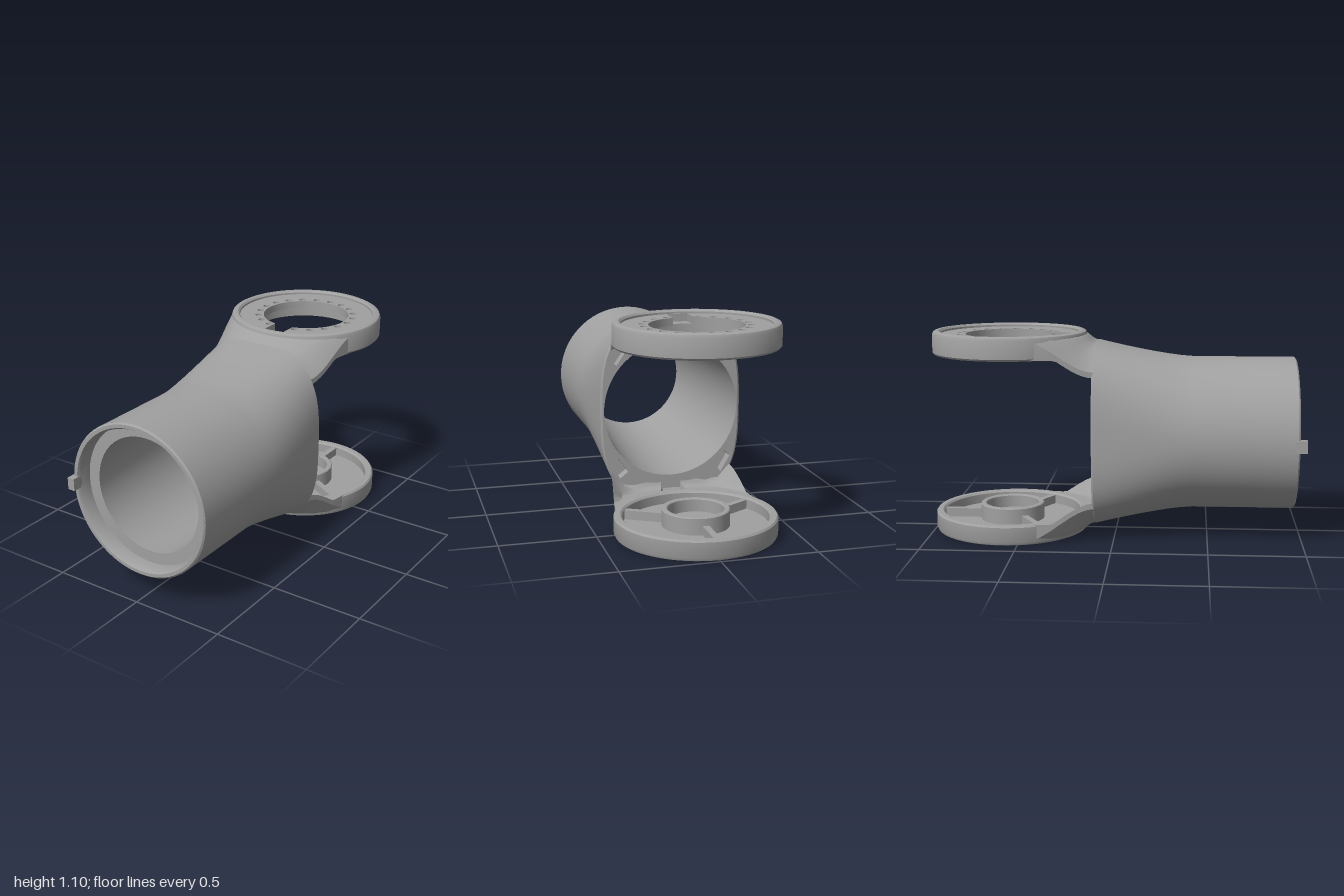
import * as THREE from 'three';
import { toCreasedNormals } from 'three/addons/utils/BufferGeometryUtils.js';

const CY = 0.55;          // height of the tube axis
const HUB_Z = -0.58;      // centre of both hub discs
const BACK = -0.11;       // rear face of the tube body
const V3 = (x, y, z) => new THREE.Vector3(x, y, z);
const V2 = (x, y) => new THREE.Vector2(x, y);

// Skin a list of closed rings with equal point counts.
function loft(rings, crease = 0.6) {
  const n = rings[0].length, pos = [], idx = [];
  rings.forEach(r => r.forEach(p => pos.push(p.x, p.y, p.z)));
  for (let i = 0; i < rings.length - 1; i++) {
    for (let j = 0; j < n; j++) {
      const a = i * n + j, b = i * n + (j + 1) % n;
      idx.push(a, b, a + n, b, b + n, a + n);
    }
  }
  const g = new THREE.BufferGeometry();
  g.setAttribute('position', new THREE.Float32BufferAttribute(pos, 3));
  g.setIndex(idx);
  return toCreasedNormals(g, crease);
}

const lathe = pts =>
  toCreasedNormals(new THREE.LatheGeometry(pts.map(p => V2(p[0], p[1])), 64), 0.6);

// Body section: a circle in front, swelling to a squarish oval at the rear.
function section(z, inset = 0) {
  const t = Math.max(0, (0.42 - z) / 0.53), s = Math.pow(t, 1.4);
  const a = 0.41 - 0.022 * s - inset, b = 0.41 + 0.085 * s - inset, e = 2 / (2 + 1.1 * s);
  const ring = [];
  for (let i = 0; i < 72; i++) {
    const c = Math.cos(i / 72 * Math.PI * 2), d = Math.sin(i / 72 * Math.PI * 2);
    ring.push(V3(a * Math.sign(c) * Math.abs(c) ** e, b * Math.sign(d) * Math.abs(d) ** e, z));
  }
  return ring;
}

// Arm between body and hub: straight lines from the body to an arc of the disc.
// Heights are for the upper arm; the lower one is flipped.
function neckGeometry(innerY, rootDrop, run) {
  const us = [-1, -0.8, -0.6, -0.4, -0.25, -0.15, -0.14, 0, 0.14, 0.15, 0.25, 0.4, 0.6, 0.8, 1];
  const rings = [];
  for (let k = 0; k <= 14; k++) {
    const t = k / 14, top = [], under = [];
    us.forEach(u => {
      const th = u * 1.3;
      const x = THREE.MathUtils.lerp(0.33 * u, 0.405 * Math.sin(th), t);
      const z = THREE.MathUtils.lerp(-0.1, HUB_Z + 0.405 * Math.cos(th), t);
      const bodyY = CY + 0.49 * Math.pow(1 - Math.abs(0.33 * u / 0.388) ** 3.1, 1 / 3.1);
      const y = THREE.MathUtils.lerp(bodyY, 1.085, THREE.MathUtils.smoothstep(t, 0, 1));
      const f = THREE.MathUtils.clamp((z - BACK + run) / run, 0, 1);
      let low = innerY - rootDrop * (1 - Math.sqrt(1 - f * f));
      if (Math.abs(u) < 0.145) low += 0.035;   // cable groove
      top.push(V3(x, y, z));
      under.unshift(V3(x, Math.min(low, y - 0.03), z));
    });
    rings.push([...top, ...under]);
  }
  return loft(rings);
}

export function createModel() {
  const model = new THREE.Group();
  model.name = 'forkJoint';
  const grey = new THREE.MeshStandardMaterial({ color: 0xa0a0a0, side: THREE.DoubleSide });
  grey.name = 'grey';
  const add = (name, geometry, parent = model) => {
    const m = new THREE.Mesh(geometry, grey);
    m.name = name;
    parent.add(m);
    return m;
  };

  // Tube body
  const body = new THREE.Group();
  body.name = 'tubeBody';
  body.position.y = CY;
  model.add(body);
  const zs = [0.957, 0.7, 0.42, 0.35, 0.28, 0.2, 0.12, 0.04, -0.03, -0.1];
  add('outerShell', loft([...zs.map(z => section(z)), section(BACK, 0.01)]), body);

  // Front lip, counterbore and bore
  const bore = lathe([[0.41, 0.957], [0.402, 0.965], [0.384, 0.965], [0.375, 0.95],
    [0.375, 0.88], [0.31, 0.88], [0.312, 0.84], [0.37, BACK]]);
  bore.rotateX(Math.PI / 2);
  add('bore', bore, body);

  // Rear face with four corner pockets
  const face = new THREE.Shape(section(BACK, 0.01).map(p => V2(p.x, p.y)));
  face.holes.push(new THREE.Path().absarc(0, 0, 0.37, 0, Math.PI * 2, true));
  for (const sx of [-1, 1]) {
    for (const sy of [-1, 1]) {
      const pts = [[0.30, 0.25], [0.335, 0.285], [0.285, 0.37], [0.24, 0.335]]
        .map(([x, y]) => V2(sx * x, sy * y));
      face.holes.push(new THREE.Path(pts));
      add('pocketWall', loft([BACK, -0.05].map(z => pts.map(p => V3(p.x, p.y, z)))), body);
      const floor = new THREE.ShapeGeometry(new THREE.Shape(pts));
      floor.rotateY(Math.PI);
      floor.scale(-1, 1, 1);
      add('pocketFloor', floor, body).position.z = -0.05;
    }
  }
  add('rearFace', new THREE.ShapeGeometry(face, 36), body).position.z = BACK;

  // Locating key on the front lip
  add('locatingKey', new THREE.BoxGeometry(0.04, 0.065, 0.06)).position.set(-0.394, CY, 0.97);

  // Arms
  add('upperArm', neckGeometry(0.976, 0.05, 0.09));
  const lower = neckGeometry(0.992, 0.04, 0.05);
  lower.rotateZ(Math.PI);
  add('lowerArm', lower).position.y = 2 * CY;

  // Upper hub: rim plus flange with a ring of bolt holes and a cable slot
  const upperHub = new THREE.Group();
  upperHub.name = 'upperHub';
  upperHub.position.z = HUB_Z;
  model.add(upperHub);
  add('upperRim', lathe([[0.29, 0.975], [0.412, 0.975], [0.42, 0.985], [0.42, 1.08],
    [0.414, 1.094], [0.402, 1.1], [0.385, 1.1], [0.375, 1.09], [0.375, 1.04],
    [0.29, 1.04], [0.29, 0.975]]), upperHub);
  const flange = new THREE.Shape().absarc(0, 0, 0.38, 0, Math.PI * 2);
  const a = Math.asin(0.057 / 0.24);
  const opening = new THREE.Path();
  opening.absarc(0, 0, 0.24, Math.PI / 2 + a, Math.PI * 2.5 - a);
  opening.lineTo(0.057, 0.365);
  opening.lineTo(-0.057, 0.365);
  opening.closePath();
  flange.holes.push(opening);
  for (let i = 1; i < 20; i++) {
    const t = Math.PI / 2 + i * Math.PI / 10;
    flange.holes.push(new THREE.Path().absarc(
      0.268 * Math.cos(t), 0.268 * Math.sin(t), 0.019, 0, Math.PI * 2, true));
  }
  const flangeGeo = new THREE.ExtrudeGeometry(flange,
    { depth: 0.04, bevelEnabled: false, curveSegments: 28 });
  flangeGeo.rotateX(Math.PI / 2);
  add('boltFlange', toCreasedNormals(flangeGeo, 0.6), upperHub).position.y = 1.08;

  // Lower hub: closed dish with a central boss and three ribs
  const lowerHub = new THREE.Group();
  lowerHub.name = 'lowerHub';
  lowerHub.position.z = HUB_Z;
  model.add(lowerHub);
  add('dish', lathe([[0, 0], [0.4, 0], [0.414, 0.006], [0.42, 0.02], [0.42, 0.1],
    [0.412, 0.11], [0.385, 0.11], [0.375, 0.1], [0.375, 0.05], [0.175, 0.05],
    [0.175, 0.135], [0.17, 0.14], [0.15, 0.14], [0.145, 0.135], [0.145, 0.07], [0, 0.07]]), lowerHub);
  for (let i = 0; i < 3; i++) {
    const rib = new THREE.BoxGeometry(0.034, 0.05, 0.22);
    rib.translate(0, 0.073, -0.272);
    rib.rotateY(i * Math.PI * 2 / 3);
    add('rib', rib, lowerHub);
  }
  return model;
}
